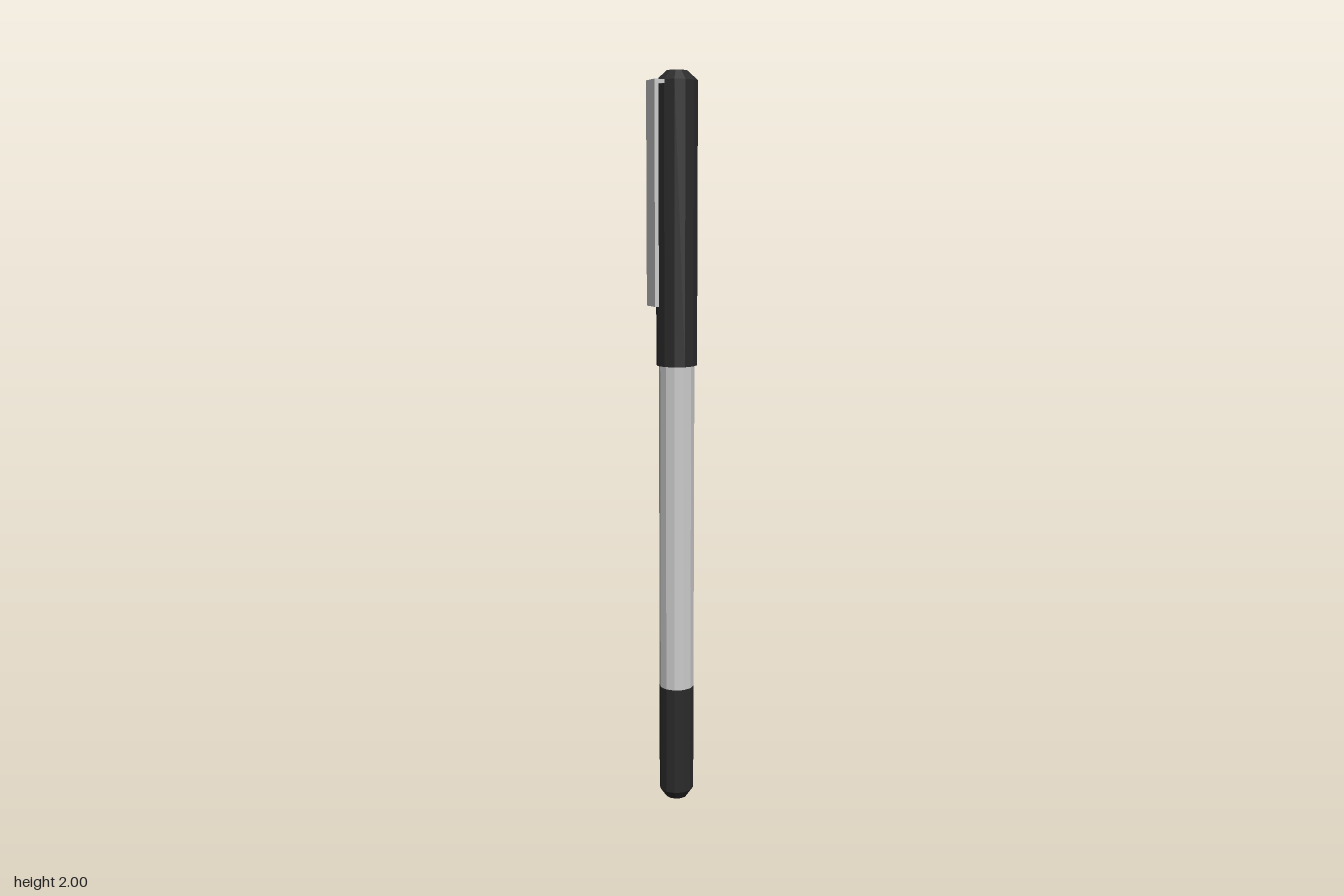
import * as THREE from 'three';

const SIDES = 12;
const AXIS_X = 0.0095;

const grey = new THREE.MeshStandardMaterial({ color: 0xcccccc, flatShading: true });
const black = new THREE.MeshStandardMaterial({ color: 0x2a2a2a, flatShading: true });

// Faceted turned part from [radius, y] points listed bottom to top
function turned(name, points, material) {
  const profile = points.map(([r, y]) => new THREE.Vector2(r, y));
  const mesh = new THREE.Mesh(new THREE.LatheGeometry(profile, SIDES), material);
  mesh.name = name;
  return mesh;
}

export function createModel() {
  const pen = new THREE.Group();
  pen.name = 'pen';

  // Barrel, end plug and cap share one axis
  const shaft = new THREE.Group();
  shaft.name = 'shaft';
  shaft.position.x = AXIS_X;
  shaft.add(
    turned('endPlug', [[0, 0], [0.03, 0], [0.048, 0.025], [0.048, 0.33]], black),
    turned('barrel', [[0.048, 0.33], [0.048, 1.24]], grey),
    turned('cap', [[0.047, 1.235], [0.055, 1.235], [0.055, 1.975], [0.028, 2]], black),
    turned('capButton', [[0.028, 2], [0, 2]], grey),
  );
  pen.add(shaft);

  // Pocket clip: an L-shaped strip hooked into the top of the cap
  const outline = new THREE.Shape([
    [-0.065, 1.395], [-0.054, 1.395], [-0.054, 1.965],
    [-0.03, 1.965], [-0.03, 1.975], [-0.065, 1.975],
  ].map(([x, y]) => new THREE.Vector2(x, y)));
  const clip = new THREE.Mesh(
    new THREE.ExtrudeGeometry(outline, { depth: 0.056, bevelEnabled: false }), grey);
  clip.name = 'clip';
  clip.position.z = -0.028;
  pen.add(clip);

  return pen;
}
